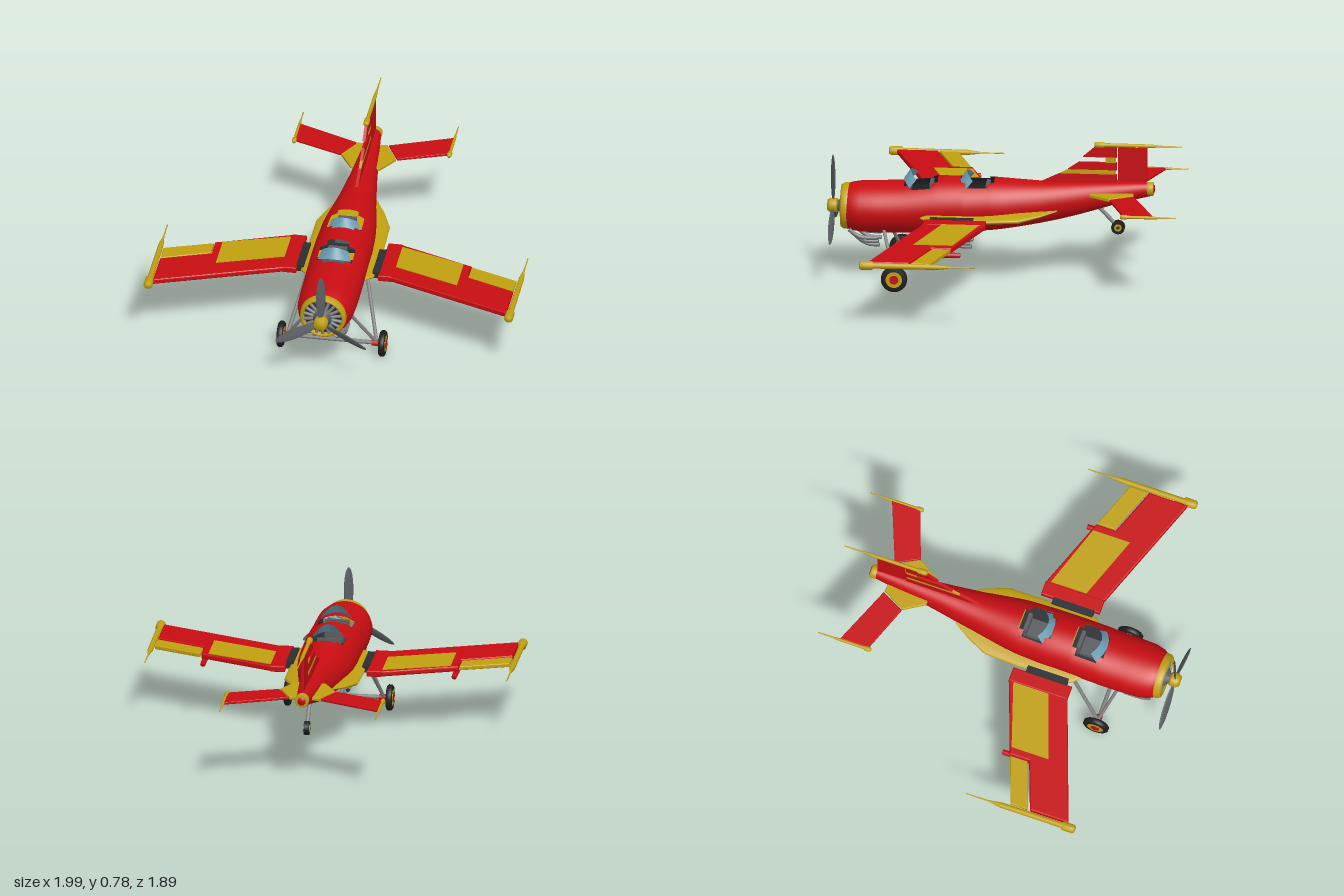
import * as THREE from 'three';

const mat = (name, color, side = THREE.FrontSide) => {
  const m = new THREE.MeshStandardMaterial({ color, side });
  m.name = name;
  return m;
};

export function createModel() {
  const red = mat('red paint', 0xc80d12);
  const yellow = mat('yellow paint', 0xbfa010);
  const dark = mat('dark interior', 0x2b2d30);
  const black = mat('tyre rubber', 0x1d1e1d);
  const grey = mat('grey metal', 0x808080);
  const steel = mat('propeller steel', 0x5a5e62);
  const glass = mat('windscreen glass', 0x6b9cb2, THREE.DoubleSide);
  const plane = new THREE.Group();
  plane.name = 'airplane';

  const add = (name, geo, m, x = 0, y = 0, z = 0, parent = plane) => {
    const mesh = new THREE.Mesh(geo, m);
    mesh.name = name;
    mesh.position.set(x, y, z);
    parent.add(mesh);
    return mesh;
  };
  const box = (name, w, h, d, m, x, y, z) => add(name, new THREE.BoxGeometry(w, h, d), m, x, y, z);

  // Straight rod between two points
  const rod = (name, a, b, r, m) => {
    const p = new THREE.Vector3(...a), q = new THREE.Vector3(...b);
    const mesh = add(name, new THREE.CylinderGeometry(r, r, p.distanceTo(q), 12), m);
    mesh.position.copy(p).add(q).multiplyScalar(0.5);
    mesh.quaternion.setFromUnitVectors(new THREE.Vector3(0, 1, 0), q.sub(p).normalize());
    return mesh;
  };

  // Body of revolution along z, profile [radius, z] from back to front
  const turned = (name, profile, m, x, y, z, seg = 24) =>
    add(name, new THREE.LatheGeometry(profile.map(p => new THREE.Vector2(...p)), seg).rotateX(Math.PI / 2), m, x, y, z);

  const extrude = (pts, t, bevel) => new THREE.ExtrudeGeometry(
    new THREE.Shape(pts.map(p => new THREE.Vector2(...p))),
    { depth: t - 2 * bevel, bevelEnabled: bevel > 0, bevelThickness: bevel, bevelSize: bevel, bevelOffset: -bevel, bevelSegments: 3 }
  ).translate(0, 0, -t / 2 + bevel);
  // Flat plate from [x, z] corners, and upright plate from [z, y] corners
  const plate = (name, pts, t, y, m, s = 1, bevel = 0) =>
    add(name, extrude(pts.map(([x, z]) => [s * x, -z]), t, bevel).rotateX(-Math.PI / 2), m, 0, y, 0);
  const upright = (name, pts, t, m) => add(name, extrude(pts, t, 0).rotateY(-Math.PI / 2), m);

  // Elliptical loft, rows [z, halfWidth, bottom, top, skippedSegments]; flip turns it inside out
  const loft = (rows, flip = false, n = 48) => {
    const pos = [], idx = [];
    for (const [z, w, lo, hi] of rows)
      for (let j = 0; j < n; j++) {
        const t = (j / n) * Math.PI * 2;
        pos.push(w * Math.sin(t), (lo + hi) / 2 + ((hi - lo) / 2) * Math.cos(t), z);
      }
    for (let i = 0; i < rows.length - 1; i++)
      for (let j = 0; j < n; j++) {
        const skip = rows[i][4] || 0;
        if (j < skip || j >= n - skip) continue;
        const k = (j + 1) % n, a = i * n + j, b = i * n + k, c = b + n, d = a + n;
        idx.push(...(flip ? [a, d, b, b, d, c] : [a, b, d, b, c, d]));
      }
    const g = new THREE.BufferGeometry();
    g.setAttribute('position', new THREE.Float32BufferAttribute(pos, 3));
    g.setIndex(idx);
    g.computeVertexNormals();
    return g;
  };

  // Fuselage with two open cockpits, and its dark lining
  const hull = [
    [0.84, 0.12, 0.265, 0.502], [0.81, 0.138, 0.257, 0.512], [0.76, 0.151, 0.25, 0.52], [0.66, 0.155, 0.248, 0.523],
    [0.53, 0.156, 0.25, 0.53, 3], [0.5, 0.156, 0.25, 0.54, 5], [0.38, 0.156, 0.253, 0.552, 3], [0.35, 0.155, 0.254, 0.56],
    [0.23, 0.154, 0.26, 0.56, 3], [0.2, 0.154, 0.262, 0.558, 5], [0.08, 0.148, 0.275, 0.558, 3], [0.05, 0.146, 0.278, 0.56],
    [0, 0.14, 0.285, 0.557], [-0.1, 0.123, 0.302, 0.552], [-0.2, 0.105, 0.322, 0.547], [-0.3, 0.09, 0.345, 0.548],
    [-0.4, 0.075, 0.372, 0.55], [-0.5, 0.063, 0.403, 0.552], [-0.6, 0.051, 0.435, 0.554], [-0.7, 0.04, 0.462, 0.556],
    [-0.78, 0.031, 0.482, 0.556],
  ];
  add('fuselage', loft(hull), red);
  add('cockpitLining', loft(hull, true), dark);
  turned('tailRing', [[0, -0.012], [0.033, -0.012], [0.037, -0.006], [0.037, 0.02], [0.03, 0.025]], yellow, 0, 0.521, -0.785);
  turned('tailCap', [[0, -0.016], [0.022, -0.016], [0.022, 0]], red, 0, 0.521, -0.785);

  // Side strakes, one flattened body passing through the hull
  add('sideStrakes', loft([
    [0.46, 0.13, 0.36, 0.39], [0.4, 0.198, 0.347, 0.402], [0.1, 0.202, 0.34, 0.402], [-0.09, 0.198, 0.345, 0.415],
    [-0.2, 0.15, 0.375, 0.418], [-0.29, 0.095, 0.405, 0.42],
  ]), yellow);

  // Cockpit floors, seats and windscreens
  for (const z of [0.44, 0.14]) {
    box('cockpitFloor', 0.25, 0.02, 0.2, dark, 0, 0.42, z);
    box('seatCushion', 0.1, 0.03, 0.09, steel, 0, 0.445, z);
    box('seatBack', 0.1, 0.1, 0.02, steel, 0, 0.485, z - 0.055);
    box('instrumentPanel', 0.13, 0.04, 0.012, steel, 0, 0.5, z + 0.06);
    const g = new THREE.PlaneGeometry(1, 1, 16, 4), p = g.attributes.position;
    for (let i = 0; i < p.count; i++) {
      const u = p.getX(i) * 2, v = p.getY(i) + 0.5;
      p.setXYZ(i, u * (0.09 - 0.02 * v), 0.548 + 0.053 * v - u * u * (0.028 + 0.012 * v), z + 0.093 - 0.035 * v - 0.035 * u * u);
    }
    g.computeVertexNormals();
    add('windscreen', g, glass);
  }

  // Cowl ring, radial engine, hub and propeller
  const cy = 0.385;
  turned('cowlRing', [[0.121, -0.015], [0.125, -0.01], [0.122, 0.015], [0.113, 0.028], [0.104, 0.024], [0.1, 0]], yellow, 0, cy, 0.84, 40);
  turned('engineBack', [[0.11, 0], [0, 0.001]], dark, 0, cy, 0.842, 32);
  for (let i = 0; i < 18; i++) {
    const a = (i / 18) * Math.PI * 2;
    rod('engineCylinder', [Math.sin(a) * 0.03, cy + Math.cos(a) * 0.03, 0.858], [Math.sin(a) * 0.104, cy + Math.cos(a) * 0.104, 0.852], 0.0085, grey);
  }
  turned('engineCase', [[0.05, 0], [0.05, 0.025], [0.03, 0.035], [0.03, 0.06]], steel, 0, cy, 0.845);
  turned('propellerHub', [[0, 0], [0.036, 0], [0.038, 0.01], [0.038, 0.04], [0.028, 0.054], [0, 0.057]], yellow, 0, cy, 0.888);
  for (let i = 0; i < 3; i++) {
    const blade = new THREE.SphereGeometry(1, 20, 14).scale(0.027, 0.13, 0.006).rotateY(0.5).translate(0, 0.153, 0);
    add('propellerBlade', blade.rotateZ((i * Math.PI * 2) / 3), steel, 0, cy, 0.912);
  }

  // Tapered tip fairing with a front bulb and a trailing spike
  const pod = (name, x, y, z0, z1, r, bulb, spike) => turned(name, [
    [0, z0], [0.003, z0], [0.004, z0 + spike * 0.6], [r * 0.6, z0 + spike], [r * 0.65, z1 - bulb - 0.008], [r, z1 - bulb],
    [r, z1 - 0.012], [r * 0.7, z1 - 0.002], [0, z1]], yellow, x, y, 0, 16);

  for (const s of [1, -1]) {
    // Forward-swept wing
    const wy = 0.375;
    box('wingJoint', 0.04, 0.036, 0.23, dark, s * 0.205, wy, 0.265);
    plate('wingRoot', [[0.22, 0.08], [0.298, 0.08], [0.298, 0.41], [0.22, 0.41]], 0.034, wy, red, s, 0.006);
    plate('wing', [[0.29, 0.08], [0.69, 0.225], [0.69, 0.335], [0.952, 0.432], [0.952, 0.65], [0.29, 0.41]], 0.03, wy, red, s, 0.008);
    plate('aileron', [[0.695, 0.23], [0.952, 0.322], [0.952, 0.422], [0.695, 0.327]], 0.022, wy, yellow, s, 0.005);
    plate('wingPanel', [[0.3, 0.108], [0.65, 0.222], [0.65, 0.43], [0.3, 0.307]], 0.006, wy + 0.0155, yellow, s);
    pod('wingTip', s * 0.972, wy, 0.08, 0.695, 0.024, 0.07, 0.2);
    turned('wingPod', [[0, 0], [0.014, 0.002], [0.016, 0.15], [0.01, 0.17], [0, 0.174]], red, s * 0.675, 0.345, 0.178, 16);
    turned('wingPodBand', [[0.0175, 0], [0.0175, 0.018]], yellow, s * 0.675, 0.345, 0.268, 16);

    // Tailplane
    plate('tailRoot', [[0.02, -0.69], [0.08, -0.695], [0.148, -0.57], [0.08, -0.46], [0.02, -0.46]], 0.018, 0.498, yellow, s, 0.004);
    plate('tailplane', [[0.088, -0.697], [0.412, -0.827], [0.412, -0.668], [0.153, -0.573]], 0.014, 0.498, red, s, 0.003);
    pod('tailTip', s * 0.418, 0.498, -0.95, -0.65, 0.013, 0.035, 0.12);

    // Main wheel, struts and exhausts
    const wheel = new THREE.Group();
    wheel.name = 'mainWheel';
    wheel.position.set(s * 0.274, 0.07, 0.565);
    plane.add(wheel);
    const disc = (name, r, w, m) => add(name, new THREE.CylinderGeometry(r, r, w, 32).rotateZ(Math.PI / 2), m, 0, 0, 0, wheel);
    const tyre = new THREE.LatheGeometry([[0.035, -0.016], [0.062, -0.016], [0.07, -0.009], [0.07, 0.009], [0.062, 0.016], [0.035, 0.016]]
      .map(p => new THREE.Vector2(...p)), 32).rotateZ(Math.PI / 2);
    add('tyre', tyre, black, 0, 0, 0, wheel);
    disc('wheelRim', 0.044, 0.034, yellow);
    disc('wheelCentre', 0.024, 0.038, red);
    rod('axleCap', [s * 0.215, 0.07, 0.565], [s * 0.258, 0.07, 0.565], 0.017, red);
    rod('rearStrut', [s * 0.24, 0.075, 0.56], [s * 0.165, 0.35, 0.4], 0.01, grey);
    rod('frontStrut', [s * 0.24, 0.075, 0.565], [s * 0.1, 0.29, 0.635], 0.009, grey);
    for (const z of [0.8, 0.31])
      for (let i = 0; i < 3; i++) {
        const x = s * (0.105 - i * 0.022), y = 0.242 - i * 0.025, zz = z - i * 0.018;
        const path = new THREE.CatmullRomCurve3([[0, 0.045, 0.02], [0, 0.02, -0.01], [0, 0.003, -0.045], [0, 0, -0.07], [0, 0, -0.135 + i * 0.016]]
          .map(([a, b, c]) => new THREE.Vector3(x + a, y + b, zz + c)));
        add('exhaustPipe', new THREE.TubeGeometry(path, 14, 0.011, 10), grey);
        add('exhaustEnd', new THREE.CircleGeometry(0.011, 10).rotateY(Math.PI), dark, x, y, zz - 0.135 + i * 0.016);
      }
  }
  rod('axle', [-0.25, 0.07, 0.565], [0.25, 0.07, 0.565], 0.011, grey);

  // Slotted fin and rudder
  upright('finBase', [[-0.18, 0.54], [-0.3, 0.598], [-0.6, 0.598], [-0.6, 0.53]], 0.016, red);
  upright('finStripe', [[-0.3, 0.598], [-0.34, 0.62], [-0.595, 0.62], [-0.595, 0.598]], 0.014, yellow);
  upright('finMiddle', [[-0.34, 0.622], [-0.4, 0.663], [-0.6, 0.663], [-0.6, 0.622]], 0.016, red);
  upright('finPost', [[-0.54, 0.66], [-0.54, 0.7], [-0.595, 0.7], [-0.595, 0.66]], 0.014, yellow);
  upright('finTop', [[-0.42, 0.693], [-0.485, 0.75], [-0.6, 0.75], [-0.6, 0.693]], 0.016, red);
  upright('rudder', [[-0.607, 0.565], [-0.607, 0.747], [-0.762, 0.747], [-0.762, 0.565]], 0.014, red);
  pod('finTip', 0, 0.76, -0.95, -0.48, 0.016, 0.05, 0.17);

  // Tail wheel
  rod('tailStrut', [0, 0.42, -0.5], [0, 0.305, -0.605], 0.011, grey);
  rod('tailTyre', [-0.014, 0.303, -0.607], [0.014, 0.303, -0.607], 0.037, black);
  rod('tailWheelRim', [-0.017, 0.303, -0.607], [0.017, 0.303, -0.607], 0.02, yellow);
  rod('tailWheelCentre', [-0.019, 0.303, -0.607], [0.019, 0.303, -0.607], 0.009, dark);

  return plane;
}
